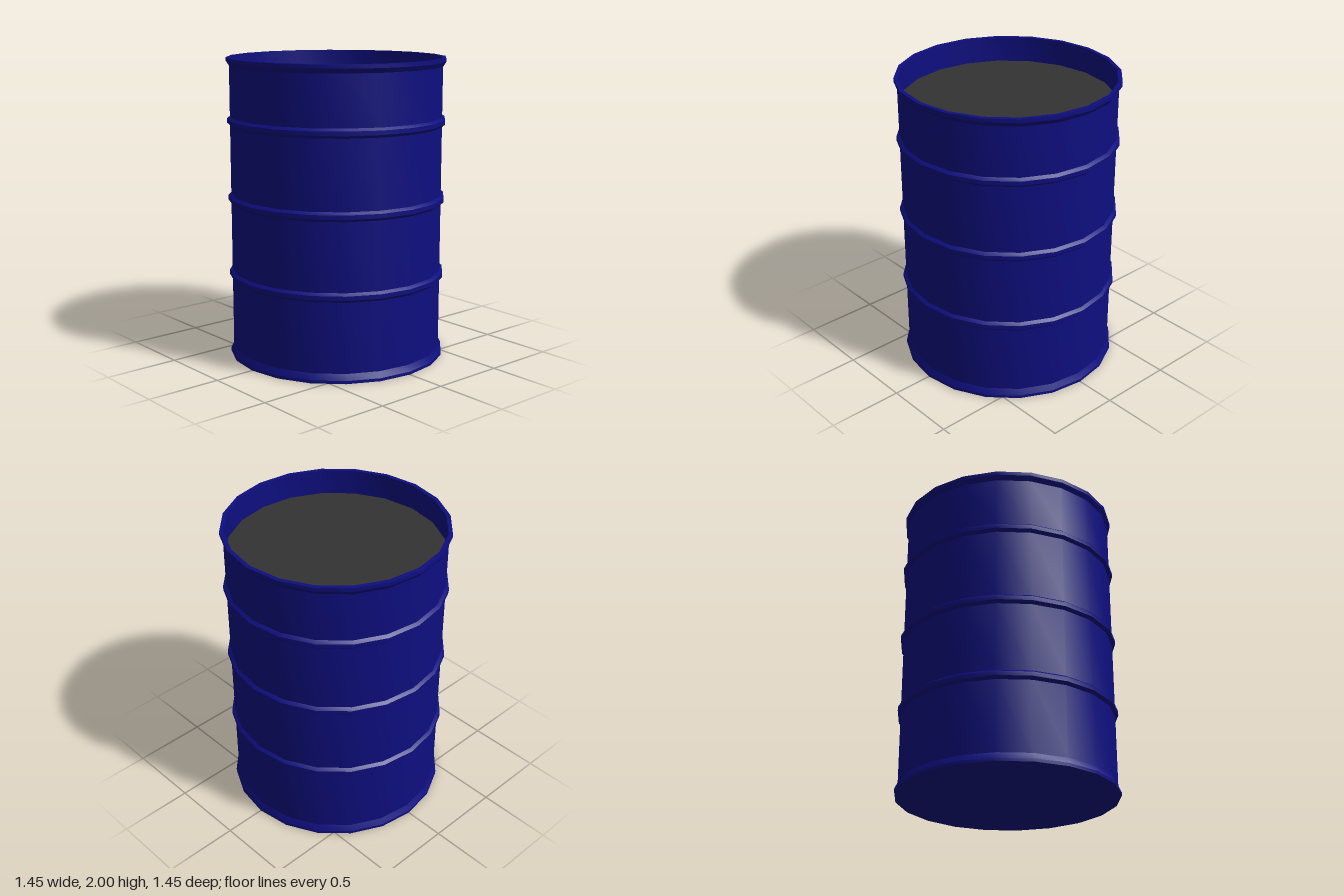
import * as THREE from 'three';
import { toCreasedNormals } from 'three/addons/utils/BufferGeometryUtils.js';

const SIDES = 20;
const WALL = 0.705;   // outer wall radius
const RIM = 0.725;    // radius of rims and hoops
const INNER = 0.698;  // radius inside the rim
const LID_Y = 1.83;

export function createModel() {
  const drum = new THREE.Group();
  drum.name = 'drum';
  const blue = new THREE.MeshStandardMaterial({ color: 0x0e0e80 });
  const grey = new THREE.MeshStandardMaterial({ color: 0x333333 });

  const add = (name, geometry, material, y = 0, tilt = 0) => {
    const mesh = new THREE.Mesh(geometry, material);
    mesh.name = name;
    mesh.position.y = y;
    mesh.rotation.x = tilt;
    drum.add(mesh);
  };

  // Wall profile from the foot rim up, over the top rim and down inside to the lid
  const profile = [[RIM, 0], [RIM, 0.02], [WALL, 0.06]];
  for (const y of [0.557, 1.07, 1.585]) {
    profile.push([WALL, y - 0.032], [RIM, y - 0.014], [RIM, y + 0.014], [WALL, y + 0.03]);
  }
  profile.push([WALL, 1.945], [RIM, 1.975], [RIM, 2], [INNER, 2], [INNER, LID_Y]);
  const points = profile.map(([r, y]) => new THREE.Vector2(r, y));
  add('wall', toCreasedNormals(new THREE.LatheGeometry(points, SIDES), 0.4), blue);

  // Sunken lid and flat base
  add('lid', new THREE.CircleGeometry(INNER, SIDES), grey, LID_Y, -Math.PI / 2);
  add('base', new THREE.CircleGeometry(RIM, SIDES), blue, 0, Math.PI / 2);

  return drum;
}
